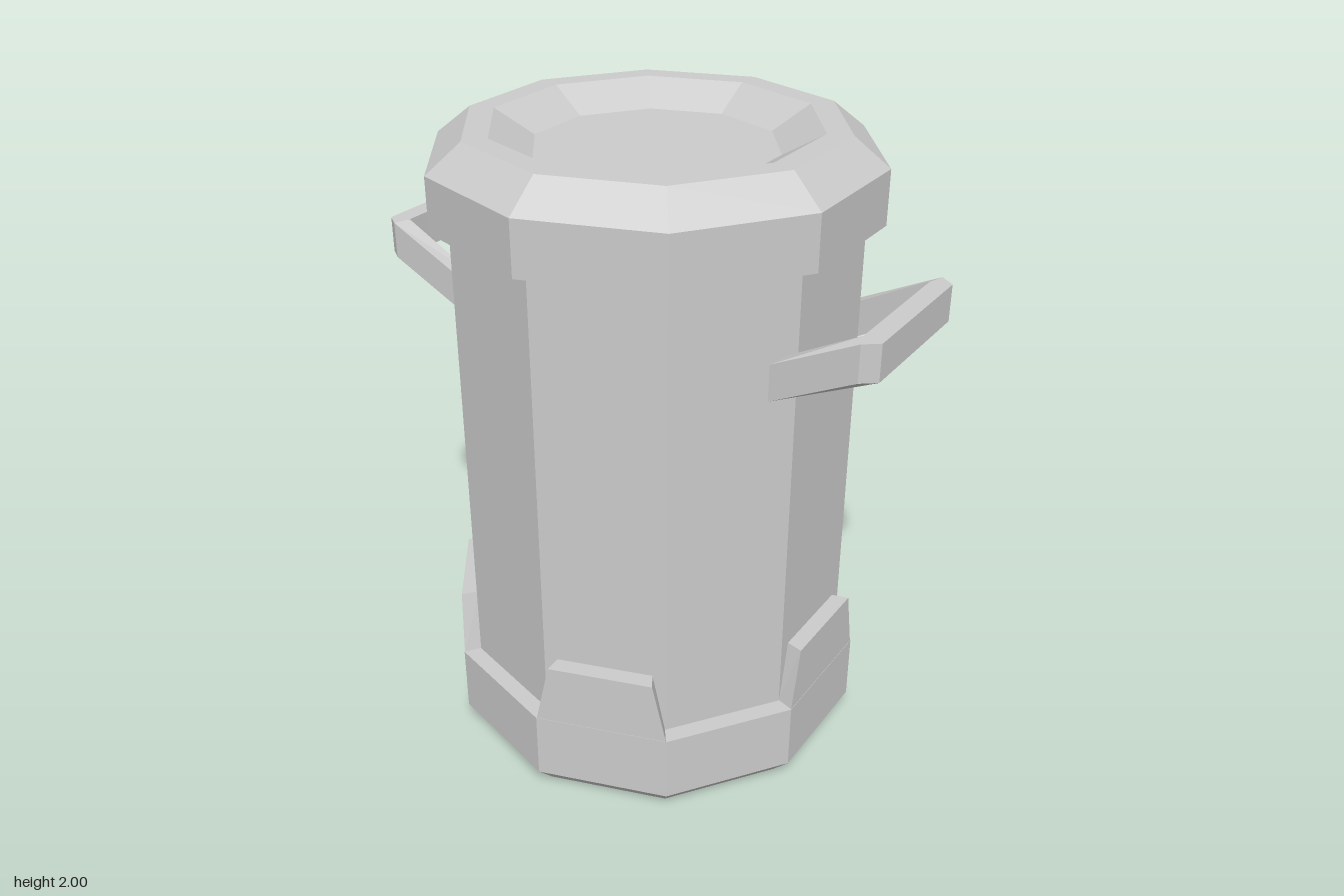
import * as THREE from 'three';

const material = new THREE.MeshStandardMaterial({ color: 0xcccccc, flatShading: true });

function addMesh(parent, name, geometry) {
  const mesh = new THREE.Mesh(geometry, material);
  mesh.name = name;
  parent.add(mesh);
  return mesh;
}

// Ten-sided solid from a profile of [radius, height], outer side listed bottom to top
const decagon = (profile) =>
  new THREE.LatheGeometry(profile.map(([r, y]) => new THREE.Vector2(r, y)), 10);

const polygon = (points) => new THREE.Shape(points.map(([x, y]) => new THREE.Vector2(x, y)));

function moveVertices(geometry, rule) {
  const p = geometry.attributes.position;
  const v = new THREE.Vector3();
  for (let i = 0; i < p.count; i++) {
    rule(v.fromBufferAttribute(p, i));
    p.setXYZ(i, v.x, v.y, v.z);
  }
  geometry.computeVertexNormals();
  return geometry;
}

// Trapezoid plate on one flat of the base, narrowing toward the body
function tabGeometry() {
  const outer = 0.639, inner = 0.585;
  const shape = polygon([[-0.207, 0.285], [0.207, 0.285], [0.163, 0.49], [-0.163, 0.49]]);
  const geometry = new THREE.ExtrudeGeometry(shape, { depth: outer - inner, bevelEnabled: false });
  geometry.translate(0, 0, inner);
  return moveVertices(geometry, (v) => { v.x *= v.z / outer; });
}

// U-shaped bar, level at the grip and sloping down into the body
function handleGeometry() {
  const shape = polygon([
    [0.54, -0.265], [0.8, -0.265], [0.845, -0.23], [0.845, 0.23], [0.8, 0.265], [0.54, 0.265],
    [0.54, 0.213], [0.783, 0.213], [0.783, -0.213], [0.54, -0.213],
  ]);
  const geometry = new THREE.ExtrudeGeometry(shape, { depth: 0.113, bevelEnabled: false });
  geometry.rotateX(-Math.PI / 2);
  return moveVertices(geometry, (v) => {
    v.y += 1.37 + 0.128 * Math.min(1, (v.x - 0.54) / 0.243);
  });
}

export function createModel() {
  const model = new THREE.Group();
  model.name = 'trashCan';

  addMesh(model, 'body', decagon([[0.617, 0.2], [0.617, 1.8]]));

  // Base ring with a bevelled foot and closed bottom
  addMesh(model, 'base', decagon([[0, 0], [0.61, 0], [0.673, 0.07], [0.673, 0.29], [0.61, 0.29]]));

  // Raised plates on every second flat
  const tab = tabGeometry();
  for (let i = 0; i < 5; i++) {
    addMesh(model, 'baseTab', tab).rotation.y = Math.PI / 10 + (i * Math.PI * 2) / 5;
  }

  // Lid with a bevelled edge and a sunken centre
  addMesh(model, 'lid', decagon([
    [0.6, 1.75], [0.673, 1.75], [0.673, 1.915], [0.566, 2], [0.49, 2], [0.367, 1.93], [0, 1.93],
  ]));

  // Side handles
  const handle = handleGeometry();
  addMesh(model, 'leftHandle', handle);
  addMesh(model, 'rightHandle', handle).rotation.y = Math.PI;

  return model;
}
